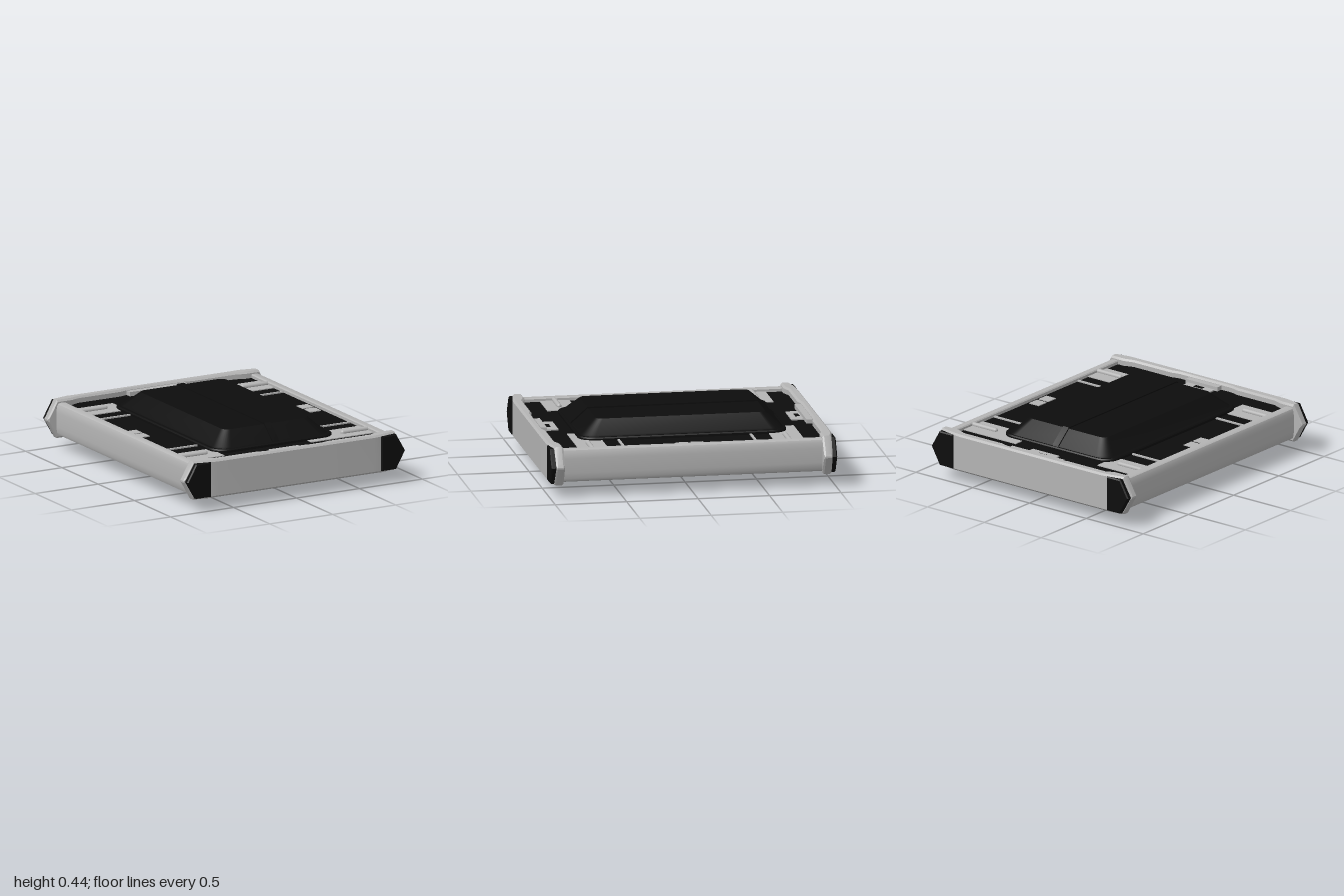
import * as THREE from 'three';
import { toCreasedNormals } from 'three/addons/utils/BufferGeometryUtils.js';

const grey = new THREE.MeshStandardMaterial({ color: 0xb4b4b4 });
grey.name = 'light grey';
const black = new THREE.MeshStandardMaterial({ color: 0x0d0d0d });
black.name = 'black';

const MID = 0.2225;   // height of the middle plane
const FLOOR = 0.088;  // panel surface above the middle plane

function add(parent, name, geometry, material, x = 0, y = 0, z = 0) {
  const mesh = new THREE.Mesh(geometry, material);
  mesh.name = name;
  mesh.position.set(x, y, z);
  parent.add(mesh);
  return mesh;
}

// Box given by its x, y and z ranges
function block(parent, name, material, [x0, x1], [y0, y1], [z0, z1]) {
  return add(parent, name, new THREE.BoxGeometry(x1 - x0, y1 - y0, z1 - z0), material,
    (x0 + x1) / 2, (y0 + y1) / 2, (z0 + z1) / 2);
}

// Closed skin through rings of points, with flat ends
function loft(rings, crease = 0.45) {
  const pos = [];
  const tri = (...pts) => pts.forEach(p => pos.push(...p));
  const n = rings[0].length;
  const centre = r => [0, 1, 2].map(k => r.reduce((s, p) => s + p[k], 0) / n);
  const first = rings[0], last = rings[rings.length - 1];
  const c0 = centre(first), c1 = centre(last);
  for (let i = 0; i < n; i++) {
    const j = (i + 1) % n;
    for (let k = 0; k + 1 < rings.length; k++) {
      const a = rings[k], b = rings[k + 1];
      tri(a[i], a[j], b[j]);
      tri(a[i], b[j], b[i]);
    }
    tri(c0, first[j], first[i]);
    tri(c1, last[i], last[j]);
  }
  const g = new THREE.BufferGeometry();
  g.setAttribute('position', new THREE.Float32BufferAttribute(pos, 3));
  g.computeVertexNormals();
  return toCreasedNormals(g, crease);
}

// Horizontal rounded rectangle at height y
function roundedRing(hx, hz, r, y) {
  const ring = [], steps = 8;
  const corners = [[1, 1], [1, -1], [-1, -1], [-1, 1]];
  corners.forEach(([sx, sz], q) => {
    for (let i = 0; i <= steps; i++) {
      const t = (q + i / steps) * Math.PI / 2;
      ring.push([sx * (hx - r) + r * Math.sin(t), y, sz * (hz - r) + r * Math.cos(t)]);
    }
  });
  return ring;
}

function extrude(points, depth, bevel = 0) {
  const shape = new THREE.Shape(points.map(p => new THREE.Vector2(...p)));
  return toCreasedNormals(new THREE.ExtrudeGeometry(shape, {
    depth, bevelEnabled: bevel > 0, bevelThickness: bevel, bevelSize: bevel,
    bevelOffset: -bevel, bevelSegments: 1, steps: 1,
  }), 0.6);
}

// End beam with pointed ends and black corner guards
function endBeam() {
  const g = new THREE.Group();
  g.name = 'endBeam';
  // x, half height, inner z, outer z
  const half = [
    [0.23, 0.134, 0.945, 0.997], [0.29, 0.134, 0.93, 0.997], [0.62, 0.134, 0.93, 0.996],
    [0.69, 0.136, 0.905, 0.992], [0.80, 0.136, 0.905, 0.97], [0.86, 0.03, 0.907, 0.967],
    [0.874, 0.006, 0.915, 0.963],
  ];
  const stations = [...half.map(([x, ...s]) => [-x, ...s]).reverse(), ...half];
  const rings = stations.map(([x, h, a, b]) => {
    const c = Math.min(0.013, h / 2);
    return [[h, a + c], [h, b - c], [h - c, b], [c - h, b], [-h, b - c], [-h, a + c], [c - h, a], [h - c, a]]
      .map(([y, z]) => [x, y, z]);
  });
  add(g, 'beam', loft(rings), grey);
  for (const s of [1, -1]) {
    const outline = [[0.675, -0.124], [0.795, -0.124], [0.866, 0], [0.795, 0.124], [0.675, 0.124]];
    const guard = outline.map(([x, y]) => [s * x, y]);
    add(g, 'cornerGuard', extrude(s > 0 ? guard : guard.reverse(), 0.032, 0.008), black, 0, 0, 0.96);
  }
  return g;
}

// Everything on one face of the panel
function panelFace() {
  const g = new THREE.Group();
  g.name = 'panelFace';
  // Domed cover with its rim and centre rib
  add(g, 'domedCover', loft([
    roundedRing(0.48, 0.73, 0.11, FLOOR - 0.02),
    roundedRing(0.48, 0.73, 0.11, 0.104),
    roundedRing(0.472, 0.722, 0.105, 0.112),
    roundedRing(0.45, 0.71, 0.095, 0.112),
    roundedRing(0.437, 0.70, 0.09, 0.12),
    roundedRing(0.34, 0.595, 0.05, 0.213),
  ]), black);
  const rib = add(g, 'centreRib', extrude(
    [[-0.73, 0.08], [0.73, 0.08], [0.71, 0.124], [0.597, 0.2225], [-0.597, 0.2225], [-0.71, 0.124]],
    0.05), black, -0.025, 0, 0);
  rib.rotation.y = Math.PI / 2;

  // Flat grey corner patches and side patches
  const skin = [FLOOR, FLOOR + 0.006];
  for (const [x, z] of [
    [[-0.745, -0.43], [-0.79, -0.59]], [[0.28, 0.745], [-0.80, -0.59]],
    [[-0.745, -0.45], [0.585, 0.79]], [[0.245, 0.745], [0.575, 0.78]],
    [[-0.72, -0.64], [-0.10, -0.015]], [[-0.72, -0.64], [0.005, 0.09]],
    [[0.635, 0.72], [-0.10, -0.015]], [[0.635, 0.72], [0.005, 0.09]],
  ]) block(g, 'panelPatch', grey, x, skin, [Math.min(...z), Math.max(...z)]);

  for (const sx of [1, -1]) for (const sz of [1, -1]) {
    // Rounded bars in the corners
    const bar = add(g, 'cornerBar', new THREE.CapsuleGeometry(0.017, 0.19, 6, 14), grey,
      sx * 0.642, FLOOR + 0.012, sz * 0.69);
    bar.rotation.z = Math.PI / 2;
    // Thin ridges across the sides
    const xs = sx > 0 ? [0.47, 0.745] : [-0.745, -0.47];
    block(g, 'sideRidge', grey, xs, [FLOOR - 0.01, FLOOR + 0.01], [sz * 0.463 - 0.008, sz * 0.463 + 0.008]);
  }

  // Latches at both ends
  for (const [s, w] of [[1, 0.14], [-1, 0.23]]) {
    const range = (a, b) => s > 0 ? [a, b] : [-b, -a];
    block(g, 'latchPlate', grey, [-0.117, 0.117], [FLOOR, 0.097], range(0.815, 0.91));
    block(g, 'latchSlot', black, [-0.037, 0.037], [0.097, 0.099], range(0.856, 0.888));
    block(g, 'latchBracket', grey, [-w, w], [FLOOR - 0.01, 0.118], range(0.9, 0.955));
  }
  return g;
}

export function createModel() {
  const model = new THREE.Group();
  model.name = 'framedPanel';
  const body = new THREE.Group();
  body.name = 'body';
  body.position.y = MID;
  model.add(body);

  block(body, 'panel', black, [-0.76, 0.76], [-FLOOR, FLOOR], [-0.955, 0.955]);

  for (const turn of [0, Math.PI]) {
    const beam = endBeam();
    beam.rotation.y = turn;
    body.add(beam);

    const face = panelFace();
    face.rotation.z = turn;
    body.add(face);

    // Side rail with softly rounded edges
    const rail = new THREE.Group();
    rail.name = 'sideRail';
    add(rail, 'rail', extrude([
      [0.738, -0.108], [0.745, -0.115], [0.785, -0.115], [0.798, -0.108], [0.806, -0.09], [0.81, -0.05],
      [0.81, 0.05], [0.806, 0.09], [0.798, 0.108], [0.785, 0.115], [0.745, 0.115], [0.738, 0.108],
    ], 1.88), grey, 0, 0, -0.94);
    rail.rotation.y = turn;
    body.add(rail);
  }
  return model;
}
